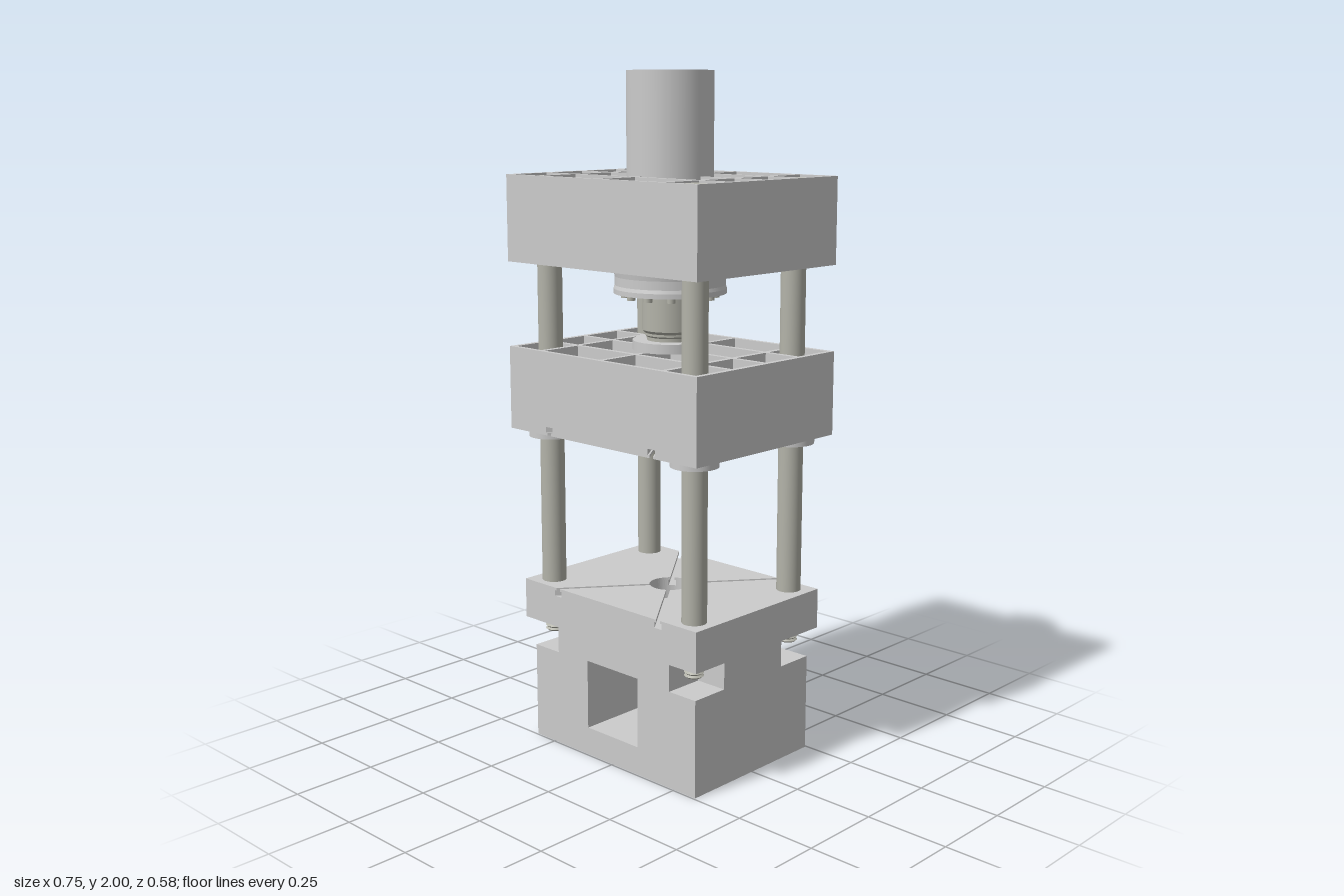
import * as THREE from 'three';

const grey = new THREE.MeshStandardMaterial({ color: 0xcccccc });
const steel = new THREE.MeshStandardMaterial({ color: 0xb3b3a9 });
const COL_X = 0.288, COL_Z = 0.205;

function add(parent, name, geometry, material = grey, x = 0, y = 0, z = 0) {
  const mesh = new THREE.Mesh(geometry, material);
  mesh.name = name;
  mesh.position.set(x, y, z);
  parent.add(mesh);
  return mesh;
}

// Box given by its centre in x/z and its bottom and top heights
const box = (parent, name, w, d, y0, y1, x = 0, z = 0) =>
  add(parent, name, new THREE.BoxGeometry(w, y1 - y0, d), grey, x, (y0 + y1) / 2, z);

const disc = (parent, name, r, y0, y1, material = grey, x = 0, z = 0, sides = 64) =>
  add(parent, name, new THREE.CylinderGeometry(r, r, y1 - y0, sides), material, x, (y0 + y1) / 2, z);

function rect(x0, y0, x1, y1, Type = THREE.Shape) {
  const p = [[x0, y0], [x1, y0], [x1, y1], [x0, y1]];
  return new Type(p.map(([x, y]) => new THREE.Vector2(x, y)));
}

// Flat plan shape raised from y0 to y1
function slab(parent, name, shapes, y0, y1) {
  const g = new THREE.ExtrudeGeometry(shapes, { depth: y1 - y0, bevelEnabled: false, curveSegments: 48 });
  g.rotateX(-Math.PI / 2);
  return add(parent, name, g, grey, 0, y0, 0);
}

// Four plate sectors left between two crossing diagonal slots and a centre hole
function slottedPlan(hx, hz, slotX, halfWidth, r) {
  const phi = Math.atan2(hz, slotX), delta = Math.asin(halfWidth / r);
  const W = halfWidth * Math.hypot(1, slotX / hz);
  const sector = (a0, a1, outer, sign) => {
    const pts = [];
    for (let i = 0; i <= 16; i++) {
      const a = a0 + (a1 - a0) * i / 16;
      pts.push([r * Math.cos(a), r * Math.sin(a)]);
    }
    return new THREE.Shape(pts.concat(outer).map(([x, y]) => new THREE.Vector2(sign * x, sign * y)));
  };
  const side = [[slotX + W, hz], [hx, hz], [hx, -hz], [slotX + W, -hz]];
  const end = [[W - slotX, hz], [slotX - W, hz]];
  return [1, -1].flatMap(s => [
    sector(delta - phi, phi - delta, side, s),
    sector(phi + delta, Math.PI - phi - delta, end, s),
  ]);
}

function holedPlan(hx, hz, r) {
  const s = rect(-hx, -hz, hx, hz);
  s.holes.push(new THREE.Path().absarc(0, 0, r, 0, Math.PI * 2, true));
  return s;
}

// Outer walls and ribs enclosing a 4 x 4 grid of open pockets
function ribPlan() {
  const s = rect(-0.373, -0.29, 0.373, 0.29);
  const xs = [[-0.357, -0.249], [-0.233, -0.007], [0.007, 0.233], [0.249, 0.357]];
  const zs = [[-0.276, -0.149], [-0.134, -0.007], [0.007, 0.134], [0.149, 0.276]];
  for (const [x0, x1] of xs) for (const [z0, z1] of zs) s.holes.push(rect(x0, z0, x1, z1, THREE.Path));
  return s;
}

function lathe(parent, name, pts, material, x = 0, z = 0) {
  // Each segment is turned separately so its edges stay sharp
  const g = new THREE.Group();
  g.name = name;
  g.position.set(x, 0, z);
  for (let i = 1; i < pts.length; i++) {
    const seg = [pts[i - 1], pts[i]].map(p => new THREE.Vector2(...p));
    add(g, name + 'Face', new THREE.LatheGeometry(seg, 48), material);
  }
  parent.add(g);
}

export function createModel() {
  const model = new THREE.Group();
  model.name = 'fourColumnPress';

  // Base block with a through window and four notched corners
  const base = new THREE.Group();
  base.name = 'base';
  const front = rect(-0.23, 0, 0.23, 0.38);
  front.holes.push(rect(-0.104, 0.085, 0.104, 0.295, THREE.Path));
  add(base, 'baseCore', new THREE.ExtrudeGeometry(front, { depth: 0.49, bevelEnabled: false }), grey, 0, 0, -0.245);
  for (const s of [-1, 1]) {
    box(base, 'baseSide', 0.1, 0.49, 0, 0.29, s * 0.28);
    box(base, 'baseShoulder', 0.1, 0.25, 0.29, 0.38, s * 0.28);
  }
  model.add(base);

  // Fixed bed with T-slots opening upward
  const bed = new THREE.Group();
  bed.name = 'bed';
  slab(bed, 'bedPlate', holedPlan(0.351, 0.265, 0.062), 0.38, 0.475);
  slab(bed, 'bedSlotWide', slottedPlan(0.351, 0.265, 0.206, 0.011, 0.062), 0.475, 0.492);
  slab(bed, 'bedSlotNeck', slottedPlan(0.351, 0.265, 0.206, 0.006, 0.062), 0.492, 0.5);
  model.add(bed);

  // Moving platen with T-slots opening downward and ribs above
  const platen = new THREE.Group();
  platen.name = 'movingPlaten';
  slab(platen, 'platenSlotNeck', slottedPlan(0.373, 0.29, 0.206, 0.006, 0.058), 0.967, 0.975);
  slab(platen, 'platenSlotWide', slottedPlan(0.373, 0.29, 0.206, 0.011, 0.058), 0.975, 0.992);
  slab(platen, 'platenFloor', holedPlan(0.373, 0.29, 0.058), 0.992, 1.015);
  slab(platen, 'platenRibs', ribPlan(), 1.015, 1.212);
  model.add(platen);

  // Top crown, open pockets facing upward
  const crown = new THREE.Group();
  crown.name = 'crown';
  slab(crown, 'crownFloor', rect(-0.373, -0.29, 0.373, 0.29), 1.46, 1.508);
  slab(crown, 'crownRibs', ribPlan(), 1.508, 1.71);
  model.add(crown);

  // Columns with threaded ends and guide bushings
  for (const sx of [-1, 1]) for (const sz of [-1, 1]) {
    const x = sx * COL_X, z = sz * COL_Z;
    disc(model, 'column', 0.036, 0.49, 1.465, steel, x, z, 48);
    disc(model, 'columnTopEnd', 0.028, 1.46, 1.706, steel, x, z, 48);
    disc(model, 'columnBottomEnd', 0.022, 0.34, 0.4, steel, x, z, 32);
    const thread = [];
    for (let i = 0; i <= 10; i++) thread.push([i % 2 ? 0.028 : 0.022, 0.34 + i * 0.005]);
    lathe(model, 'columnThread', thread, steel, x, z);
    disc(model, 'bushingFlange', 0.068, 0.945, 0.967, grey, x, z, 48);
    disc(model, 'bushing', 0.046, 0.967, 1.04, grey, x, z, 48);
  }

  // Hydraulic cylinder, waisted collar and ring of bolts
  disc(model, 'cylinder', 0.124, 1.5, 2);
  lathe(model, 'cylinderCollar',
    [[0, 1.376], [0.163, 1.376], [0.163, 1.39], [0.16, 1.4], [0.16, 1.425], [0.165, 1.455], [0.165, 1.462]], grey);
  for (let i = 0; i < 12; i++) {
    const a = (i + 0.5) / 12 * Math.PI * 2;
    disc(model, 'collarBolt', 0.012, 1.361, 1.38, steel, 0.13 * Math.cos(a), 0.13 * Math.sin(a), 16);
  }

  // Ram with neck and mounting flange
  lathe(model, 'ram',
    [[0.068, 1.238], [0.068, 1.25], [0.074, 1.255], [0.074, 1.262], [0.081, 1.27], [0.081, 1.378]], steel);
  disc(model, 'ramFlange', 0.109, 1.212, 1.24);

  return model;
}
